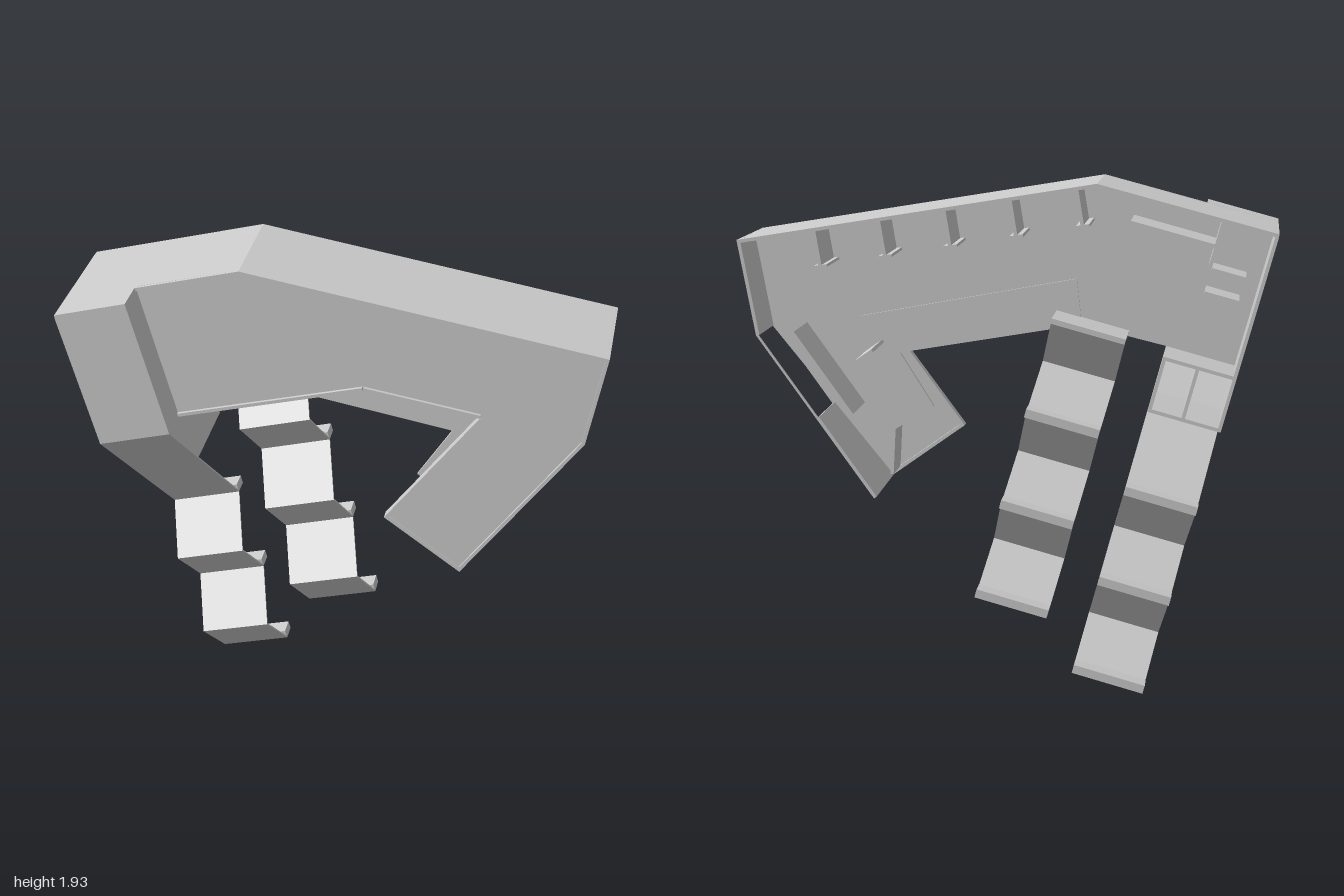
import * as THREE from 'three';

const T = 0.013;                 // sheet thickness
const THIN = 0.006;              // ribbon thickness
const BACK = -0.27, MID = -0.04, FRONT = 0.14, NOSE = 0.27;
const TILT = 0.262;              // lean of the block and ribbons
const mat = new THREE.MeshStandardMaterial({ color: 0xcccccc, flatShading: true, side: THREE.DoubleSide });

function add(parent, geo, name) {
  const m = new THREE.Mesh(geo, mat);
  m.name = name;
  parent.add(m);
  return m;
}

// box given by its min and max on each axis
function box(parent, name, x0, x1, y0, y1, z0, z1) {
  const m = add(parent, new THREE.BoxGeometry(x1 - x0, y1 - y0, z1 - z0), name);
  m.position.set((x0 + x1) / 2, (y0 + y1) / 2, (z0 + z1) / 2);
}

// polygon thickened by depth along its normal
function slab(pts, depth) {
  const shape = new THREE.Shape(pts.map(p => new THREE.Vector2(p[0], p[1])));
  return new THREE.ExtrudeGeometry(shape, { depth, bevelEnabled: false });
}

// flat polygon in xy, thickened from z0 to z1
function plate(parent, name, pts, z0, z1) {
  add(parent, slab(pts, z1 - z0).translate(0, 0, z0), name);
}

// profile in (z, y), thickened along x
function sidePlate(parent, name, pts, x0) {
  add(parent, slab(pts, T).rotateY(-Math.PI / 2).translate(x0 + T, 0, 0), name);
}

// group whose x axis runs along angle a, starting at (x, y)
function frame(parent, name, x, y, a) {
  const g = new THREE.Group();
  g.name = name;
  g.position.set(x, y, 0);
  g.rotation.z = a;
  parent.add(g);
  return g;
}

// wall standing on the line p-q, its thickness to the right of travel
function wall(parent, name, p, q, z0, z1) {
  const dx = q[0] - p[0], dy = q[1] - p[1];
  const g = frame(parent, name, p[0], p[1], Math.atan2(dy, dx));
  box(g, name, 0, Math.hypot(dx, dy), -T, 0, z0, z1);
}

// sloping sheet between two (y, z) points, running along local x
function slope(parent, name, a, b, width) {
  const dy = b[0] - a[0], dz = b[1] - a[1];
  const geo = new THREE.BoxGeometry(width, Math.hypot(dy, dz), THIN);
  geo.translate(width / 2, 0, THIN / 2);
  const m = add(parent, geo, name);
  m.rotation.x = Math.atan2(dz, dy);
  m.position.set(0, (a[0] + b[0]) / 2, (a[1] + b[1]) / 2);
}

// folded ribbon: list of (y, z) folds, with a ledge at each rear fold
function ribbon(parent, folds, width) {
  for (let i = 1; i < folds.length; i++) {
    slope(parent, 'foldedPanel', folds[i - 1], folds[i], width);
    const [y, z] = folds[i];
    if (z < -0.15) box(parent, 'rearLedge', 0, width, y, y + 0.033, BACK, z);
  }
}

export function createModel() {
  const model = new THREE.Group();
  model.name = 'foldedShell';

  // outline corners, clockwise from the upper left
  const topLeft = [-1, 1.756], seam = [-0.73, 1.828], peak = [-0.34, 1.93], farTop = [1, 1.708];
  const elbow = [0.935, 1.35], toe = [0.495, 0.734], heel = [0.2, 0.947];
  const crotch = [0.548, 1.417], arch = [0.115, 1.487], seamLow = [-0.59, 1.302];

  // front skin and its raised rim
  plate(model, 'frontPanel', [seam, peak, farTop, elbow, toe, heel, crotch, arch, seamLow], 0.115, 0.128);
  const rim = [toe, heel, crotch, arch, seamLow];
  for (let i = 1; i < rim.length; i++) wall(model, 'rim', rim[i - 1], rim[i], 0.1, FRONT);

  // roof and end wall
  wall(model, 'roofLeft', topLeft, peak, BACK, FRONT);
  wall(model, 'roofNose', topLeft, seam, FRONT, NOSE);
  wall(model, 'roofRight', peak, farTop, BACK, FRONT);
  wall(model, 'endWall', farTop, elbow, BACK, FRONT);

  // inner panel that closes the hollow behind the skin, and its lower strip
  const stripLeft = [-0.27, 1.379], stripRight = [0.43, 1.257];
  plate(model, 'innerPanel', [[-0.985, 1.745], [-0.34, 1.92], [0.985, 1.7], [0.925, 1.35],
    [0.46, 0.775], [0.45, 0.955], [0.3, 1.05], stripRight, stripLeft, seamLow, [-0.85, 1.232]], MID, MID + T);
  plate(model, 'lowerStrip', [stripRight, [0.58, 1.397], [-0.25, 1.553], stripLeft], MID - 0.008, MID);
  wall(model, 'innerPanelEnd', [0.46, 0.775], [0.45, 0.955], MID, 0.115);

  // ribs with bottom flanges under the long roof
  const roofAngle = Math.atan2(farTop[1] - peak[1], farTop[0] - peak[0]);
  const ribs = frame(model, 'roofRibs', peak[0], peak[1], roofAngle);
  for (let i = 0; i < 5; i++) {
    const x = 0.07 + i * 0.247;
    box(ribs, 'rib', x, x + T, -0.14, -T, BACK + 0.005, MID);
    box(ribs, 'ribFlange', x - 0.02, x + 0.03, -0.15, -0.14, BACK + 0.005, MID);
  }

  // projecting block on the left, with the tapered box below it
  const W = 0.28, H = 0.535, DROP = -0.215, zDrop = 0.084;
  const block = frame(model, 'leftBlock', -0.86, 1.229, TILT);
  box(block, 'blockFront', 0, W, 0, H, NOSE - T, NOSE);
  const taper = [[BACK, DROP], [zDrop, DROP], [NOSE, 0]];
  sidePlate(block, 'blockOuterWall', [...taper, [NOSE, H], [BACK, H]], 0);
  sidePlate(block, 'blockInnerWall', [[0.115, 0], [NOSE, 0], [NOSE, H], [0.115, H]], W - T);
  sidePlate(block, 'taperWall', [...taper, [BACK, 0]], W - T);
  sidePlate(block, 'taperDivider', [...taper, [BACK, 0]], W / 2);
  box(block, 'blockFloor', 0, W, -T, 0, BACK, NOSE - T);
  box(block, 'taperFloor', 0, W, DROP, DROP + T, BACK, zDrop);

  // small shelves behind the block
  box(block, 'upperShelf', 0.2, 0.53, 0.43, 0.445, -0.25, MID);
  box(block, 'upperShelfEnd', 0.2, 0.213, 0.36, 0.53, -0.25, MID);
  for (const y of [0.25, 0.34]) box(block, 'smallShelf', 0.07, 0.2, y, y + T, -0.2, MID);

  // two folded ribbons hanging down
  const S = 0.182, rear = -0.2;
  const first = frame(model, 'leftRibbon', -0.86, 1.229, TILT);
  ribbon(first, [[0, NOSE], ...[0, 1, 2, 3, 4].map(i => [-0.545 - i * S, i % 2 ? MID : rear])], W);
  const second = frame(model, 'rightRibbon', -0.445, 1.339, TILT);
  ribbon(second, [0, 1, 2, 3, 4, 5, 6].map(i => [-i * S, i % 2 ? MID : rear]), 0.285);
  box(second, 'topLedge', 0, 0.285, 0, 0.02, -0.25, MID);

  // down-turned leg: x runs along the outer edge, -y goes inward
  const leg = frame(model, 'leg', elbow[0], elbow[1], Math.atan2(toe[1] - elbow[1], toe[0] - elbow[0]));
  const L = Math.hypot(toe[0] - elbow[0], toe[1] - elbow[1]);
  box(leg, 'outerWall', 0.385, L, -T, 0, BACK, FRONT);
  box(leg, 'openingRail', 0, 0.385, -0.008, 0, BACK, BACK + 0.008);
  box(leg, 'openingFrontRail', 0, 0.385, -T, 0, 0.1, FRONT);
  box(leg, 'frontPane', 0, 0.385, -0.033, -0.02, MID, 0.115);
  box(leg, 'insetPane', 0.07, 0.45, -0.128, -0.115, BACK, MID);
  box(leg, 'innerBracket', 0.29, 0.303, -0.33, -0.25, BACK, MID);

  return model;
}
